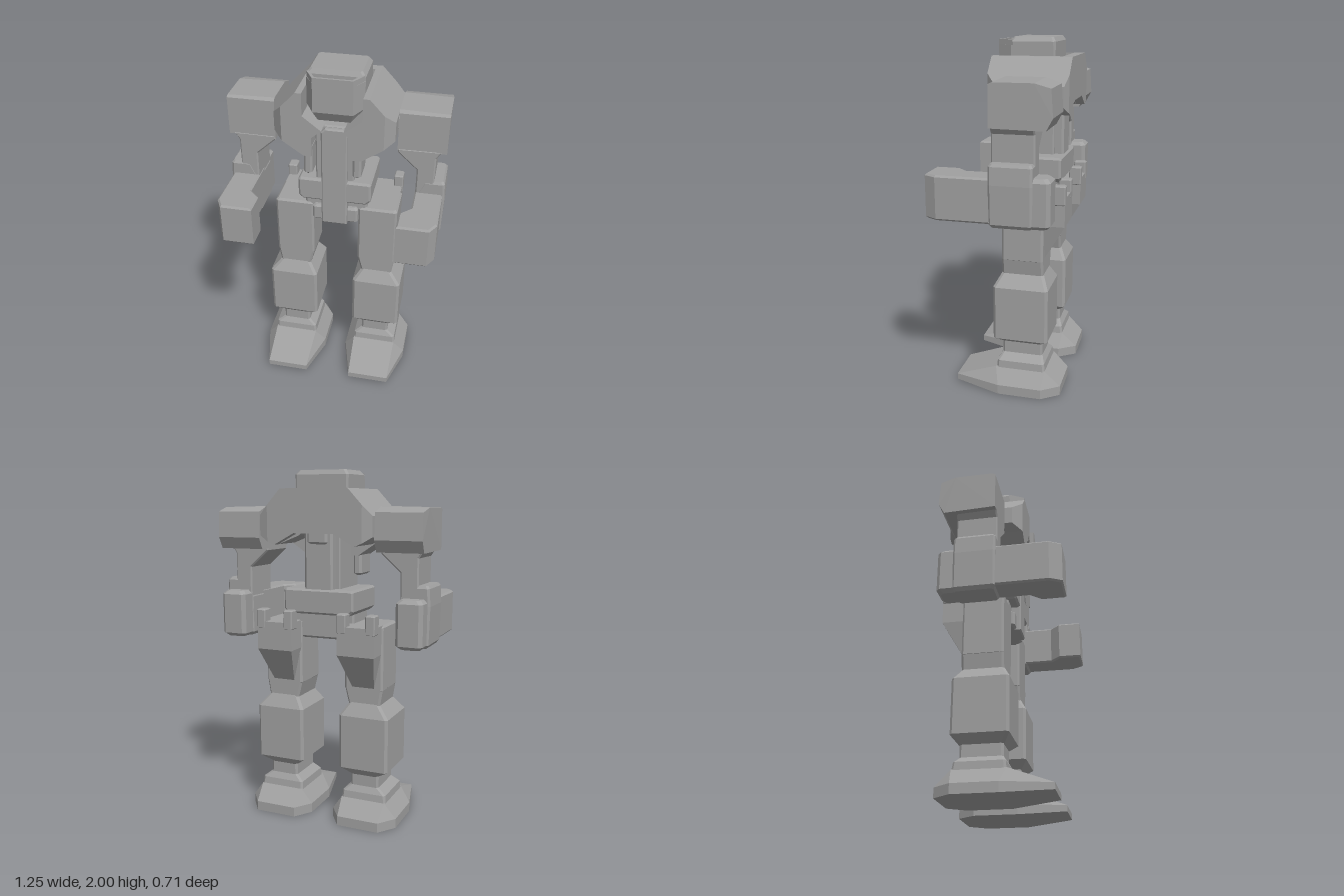
import * as THREE from 'three';
import { ConvexGeometry } from 'three/addons/geometries/ConvexGeometry.js';

export function createModel() {
  const model = new THREE.Group();
  const grey = new THREE.MeshStandardMaterial({ color: 0xa0a0a0 });
  grey.name = 'plain grey';

  const add = (name, geometry) => {
    const mesh = new THREE.Mesh(geometry, grey);
    mesh.name = name;
    model.add(mesh);
  };

  // Convex solid around any points
  const hull = (name, points) =>
    add(name, new ConvexGeometry(points.map(p => new THREE.Vector3(...p))));

  // Convex solid through chamfered rectangles: [y, x0, x1, z0, z1]; s mirrors x
  const stack = (name, s, rings, c = 0.012) => {
    const pts = [];
    for (const [y, x0, x1, z0, z1] of rings) {
      for (const [x, dx] of [[x0, c], [x1, -c]]) {
        for (const [z, dz] of [[z0, c], [z1, -c]]) {
          pts.push([s * (x + dx), y, z], [s * x, y, z + dz]);
        }
      }
    }
    hull(name, pts);
  };

  // Box with all edges chamfered
  const block = (name, s, x0, x1, y0, y1, z0, z1, c = 0.012) => stack(name, s, [
    [y0, x0 + c, x1 - c, z0 + c, z1 - c], [y0 + c, x0, x1, z0, z1],
    [y1 - c, x0, x1, z0, z1], [y1, x0 + c, x1 - c, z0 + c, z1 - c]], c);

  // Bevelled extrusion of an outline between two depths
  const slab = (pts, d0, d1, b = 0.008) => {
    const shape = new THREE.Shape(pts.map(p => new THREE.Vector2(...p)));
    return new THREE.ExtrudeGeometry(shape, {
      depth: d1 - d0 - 2 * b, bevelEnabled: b > 0, bevelSize: b,
      bevelThickness: b, bevelOffset: -b, bevelSegments: 1,
    }).translate(0, 0, d0 + b);
  };
  const frontSlab = (name, s, pts, z0, z1, b) =>
    add(name, slab(pts.map(([x, y]) => [s * x, y]), z0, z1, b));
  const planSlab = (name, s, pts, y0, y1, b) =>
    add(name, slab(pts.map(([x, z]) => [s * x, -z]), y0, y1, b).rotateX(-Math.PI / 2));
  const bothSides = pts => [...pts, ...pts.map(([x, y]) => [-x, y]).reverse()];

  // Head: crown, faceted face and a raised rim around the visor slot
  stack('headCrown', 1, [[1.8, -0.16, 0.16, -0.25, 0], [1.975, -0.16, 0.16, -0.25, 0],
    [2, -0.14, 0.14, -0.235, -0.015]]);
  hull('headFace', [-1, 1].flatMap(s => [
    [s * 0.12, 1.73, -0.2], [s * 0.09, 1.73, 0.04],
    [s * 0.16, 1.8, -0.24], [s * 0.16, 1.8, -0.005], [s * 0.11, 1.79, 0.077],
    [s * 0.16, 1.955, -0.24], [s * 0.16, 1.955, -0.005], [s * 0.11, 1.955, 0.077]]));
  planSlab('visorRim', 1, bothSides([[0.158, -0.008], [0.11, 0.077]]).concat(
    bothSides([[0.142, -0.008], [0.101, 0.064]]).reverse()), 1.95, 1.985, 0);
  block('neck', 1, -0.06, 0.06, 1.6, 1.88, -0.31, -0.1);

  // Chest yoke, open at the front around the head
  frontSlab('yokeBack', 1, bothSides([[0.2, 1.9], [0.282, 1.812], [0.282, 1.612],
    [0.24, 1.595], [0.12, 1.66]]), -0.353, -0.295, 0);
  for (const s of [1, -1]) {
    frontSlab('yokeSide', s, [[0.165, 1.9], [0.2, 1.9], [0.282, 1.812], [0.282, 1.612],
      [0.16, 1.53], [0.115, 1.53], [0.115, 1.645], [0.06, 1.69], [0.165, 1.77]], -0.1, 0.095, 0);
    frontSlab('yokeSideRear', s, [[0.165, 1.9], [0.2, 1.9], [0.282, 1.812], [0.282, 1.612],
      [0.24, 1.595], [0.115, 1.645], [0.06, 1.69], [0.165, 1.77]], -0.3, -0.1, 0);
    hull('yokeShoulder', [
      ...[-0.353, 0.095].flatMap(z => [[s * 0.282, 1.812, z], [s * 0.282, 1.612, z]]),
      ...[-0.335, 0.04].flatMap(z => [[s * 0.336, 1.755, z], [s * 0.336, 1.645, z]])]);
    block('chestFlap', s, 0.113, 0.162, 1.415, 1.6, -0.06, 0.095);
    block('shoulderJoint', s, 0.3, 0.4, 1.66, 1.74, -0.25, -0.06);
  }

  // Spine with its tapered front pillar, belt and pelvis
  frontSlab('pillar', 1, bothSides([[0.06, 1.69], [0.11, 1.65], [0.11, 1.3]]), -0.24, 0.02);
  frontSlab('pillarFace', 1, bothSides([[0.05, 1.68], [0.075, 1.655], [0.075, 1.06]]), -0.1, 0.046);
  block('spineBack', 1, -0.085, 0.085, 1.3, 1.68, -0.29, -0.2);
  frontSlab('belt', 1, bothSides([[0.2, 1.352], [0.212, 1.34], [0.212, 1.235],
    [0.185, 1.21]]), -0.3, 0.042, 0.012);
  block('pelvis', 1, -0.185, 0.185, 1.06, 1.23, -0.22, -0.01);
  block('pelvisPlate', 1, -0.135, 0.135, 1.06, 1.16, -0.18, 0.02);

  for (const s of [1, -1]) {
    // Arm: boxy shoulder, slanted upper arm, cuff and forward forearm
    hull('shoulder', [[0.345, 0], [0.615, 0.006]].flatMap(([x, d]) => [
      [s * x, 1.57, -0.005], [s * x, 1.79, -0.005], [s * x, 1.805 - d, -0.025],
      [s * x, 1.805 - d, -0.24], [s * (x - d), 1.775, -0.325],
      [s * (x - d), 1.63, -0.335], [s * (x - d), 1.565, -0.3]]));
    frontSlab('upperArm', s, [[0.347, 1.58], [0.59, 1.58], [0.56, 1.535], [0.56, 1.15],
      [0.458, 1.15], [0.458, 1.455], [0.347, 1.555]], -0.235, -0.002);
    stack('elbowCuff', s, [[1.05, 0.47, 0.605, -0.225, -0.01], [1.07, 0.455, 0.62, -0.235, 0],
      [1.28, 0.455, 0.626, -0.235, 0], [1.375, 0.5, 0.62, -0.235, 0],
      [1.39, 0.51, 0.61, -0.225, -0.01]]);
    block('forearmRear', s, 0.46, 0.612, 1.052, 1.32, -0.325, -0.15, 0.02);
    planSlab('forearm', s, [[0.455, -0.1], [0.612, -0.1], [0.612, 0.29], [0.575, 0.357],
      [0.397, 0.357], [0.397, 0.22], [0.455, 0.16]], 1.068, 1.312, 0.01);

    // Thigh with a tapering rear guard notched at the top
    block('thigh', s, 0.135, 0.365, 0.78, 1.16, -0.237, 0);
    hull('thighGuard', [
      ...[0.14, 0.355].flatMap(x => [[s * x, 1.16, -0.355], [s * x, 1.16, -0.2],
        [s * x, 1.0, -0.355], [s * x, 1.0, -0.2]]),
      ...[0.185, 0.315].flatMap(x => [[s * x, 0.8, -0.236], [s * x, 0.8, -0.2]])]);
    for (const [x0, x1] of [[0.135, 0.19], [0.305, 0.36]]) {
      block('guardHorn', s, x0, x1, 1.12, 1.23, -0.357, -0.285, 0.006);
    }

    // Lower leg
    stack('knee', s, [[0.68, 0.165, 0.345, -0.237, 0], [0.765, 0.165, 0.345, -0.237, 0],
      [0.8, 0.135, 0.365, -0.237, 0]]);
    stack('shin', s, [[0.28, 0.175, 0.34, -0.235, 0], [0.325, 0.115, 0.41, -0.275, 0.04],
      [0.635, 0.115, 0.41, -0.275, 0.04], [0.71, 0.165, 0.345, -0.237, 0]], 0.015);
    stack('ankle', s, [[0.2, 0.175, 0.345, -0.235, 0], [0.3, 0.175, 0.345, -0.235, 0]]);
    stack('ankleFlare', s, [[0.13, 0.127, 0.398, -0.262, 0.025],
      [0.18, 0.132, 0.394, -0.255, 0.02], [0.215, 0.175, 0.345, -0.235, 0]]);

    // Foot: sole with clipped corners and a wedge toe
    const sole = [[0.07, 0], [0.07, -0.25], [0.14, -0.35], [0.385, -0.35], [0.46, -0.25], [0.46, 0]];
    hull('foot', [
      ...sole.flatMap(([x, z]) => [[s * x, 0, z], [s * x, 0.055, z]]),
      ...[0.14, 0.388].flatMap(x => [[s * x, 0.02, 0.268], [s * x, 0.055, 0.268]]),
      ...[0.13, 0.395].flatMap(x => [[s * x, 0.14, 0.028], [s * x, 0.14, -0.262]])]);
  }
  return model;
}
